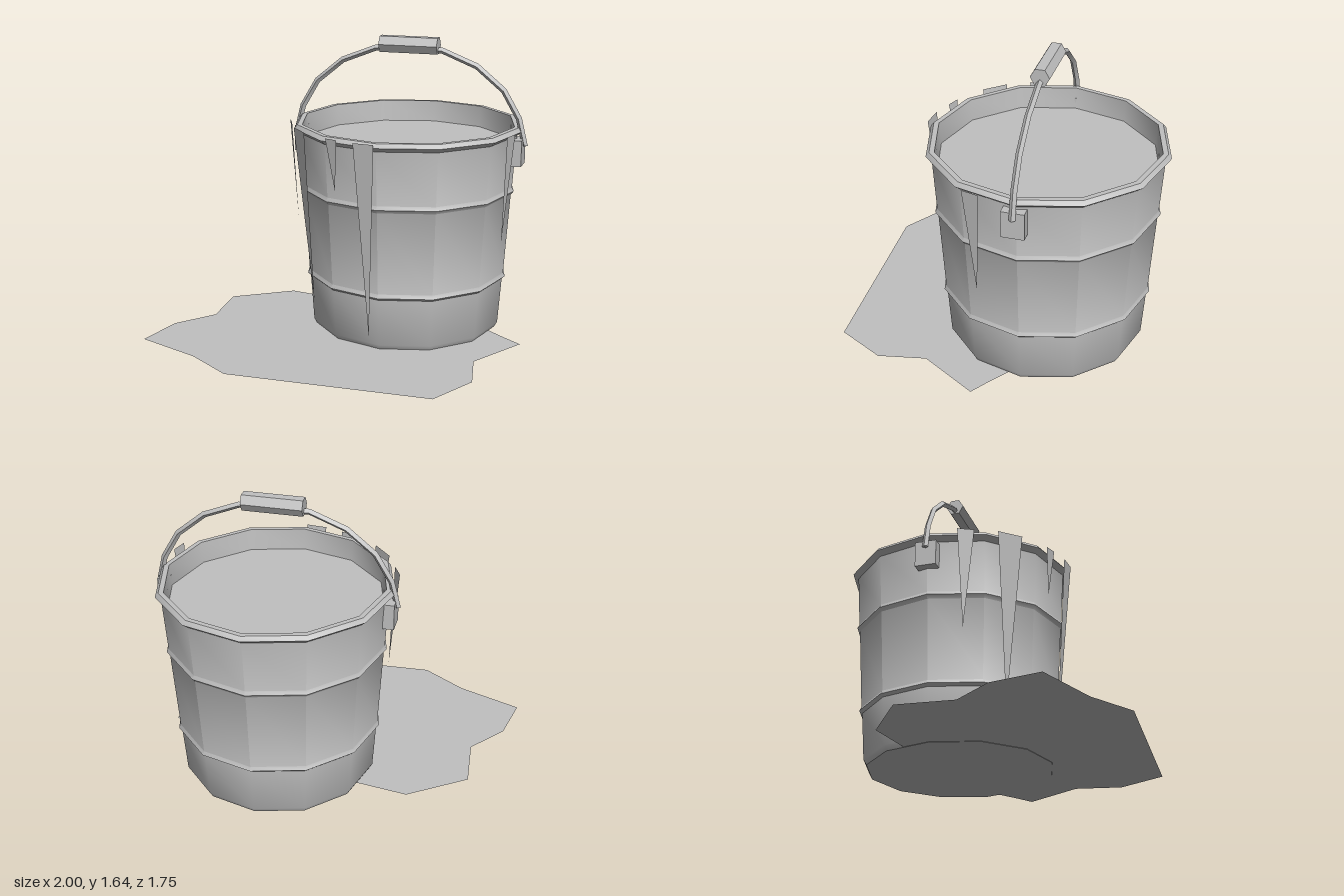
import * as THREE from 'three';
import { toCreasedNormals } from 'three/addons/utils/BufferGeometryUtils.js';

const CX = 0.285, CZ = -0.23, SIDES = 12;

export function createModel() {
  const model = new THREE.Group();
  model.name = 'paintBucket';
  const grey = new THREE.MeshStandardMaterial({ color: 0xc0c0c0, side: THREE.DoubleSide });
  grey.name = 'plain grey';

  const add = (name, geometry, parent = model) => {
    const mesh = new THREE.Mesh(geometry, grey);
    mesh.name = name;
    parent.add(mesh);
    return mesh;
  };

  const bucket = new THREE.Group();
  bucket.name = 'bucket';
  bucket.position.set(CX, 0, CZ);
  model.add(bucket);

  // Tapered wall with two raised hoops and a rolled rim
  const profile = [
    [0, 0], [0.525, 0], [0.542, 0.03], [0.56, 0.295], [0.577, 0.31], [0.566, 0.33],
    [0.594, 0.79], [0.61, 0.81], [0.599, 0.83], [0.617, 1.125],
    [0.648, 1.15], [0.63, 1.172], [0.602, 1.172], [0.592, 1.04],
  ].map(([r, y]) => new THREE.Vector2(r, y));
  add('bucketWall', toCreasedNormals(new THREE.LatheGeometry(profile, SIDES), 0.7), bucket);

  // Paint surface just under the rim
  const paint = new THREE.CircleGeometry(0.594, SIDES);
  paint.rotateX(-Math.PI / 2);
  add('paintSurface', paint, bucket).position.y = 1.05;

  // Square brackets for the handle
  for (const s of [-1, 1]) {
    const name = s > 0 ? 'leftBracket' : 'rightBracket';
    add(name, new THREE.BoxGeometry(0.06, 0.145, 0.12), bucket).position.set(s * 0.625, 1.038, 0.005);
  }

  // Faceted wire handle, mirrored about the middle
  const half = [[0.61, 1.075], [0.662, 1.075], [0.625, 1.22], [0.537, 1.37], [0.385, 1.495], [0.19, 1.572]];
  const path = [
    ...half.map(([x, y]) => new THREE.Vector3(-x, y, 0.005)),
    ...half.slice().reverse().map(([x, y]) => new THREE.Vector3(x, y, 0.005)),
  ];
  const wire = new THREE.CatmullRomCurve3(path, false, 'catmullrom', 0.5);
  // Sample exactly at the bends
  wire.getPointAt = (t, v) => wire.getPoint(t, v);
  wire.getTangentAt = (t, v) => wire.getTangent(t, v);
  add('handleWire', toCreasedNormals(new THREE.TubeGeometry(wire, path.length - 1, 0.017, 4), 0.7), bucket);

  // Hexagonal grip
  const grip = new THREE.CylinderGeometry(0.051, 0.051, 0.33, 6);
  grip.rotateZ(Math.PI / 2);
  add('handleGrip', toCreasedNormals(grip, 0.5), bucket).position.set(0.003, 1.597, 0.005);

  // Thin paint drips: two top corners and a tip
  const drips = [
    [[-0.353, 1.172, -0.05], [-0.31, 1.172, 0.035], [-0.3, 0.6, -0.03]],
    [[-0.255, 1.172, 0.155], [-0.155, 1.172, 0.265], [-0.14, 0.19, 0.16]],
    [[0, 1.172, 0.365], [0.07, 1.172, 0.39], [0.05, 0.89, 0.355]],
    [[0.17, 1.172, 0.425], [0.285, 1.172, 0.435], [0.235, 0.08, 0.335]],
    [[0.9, 1.172, 0.045], [0.925, 1.172, -0.047], [0.873, 0.565, -0.018]],
  ];
  drips.forEach(([a, b, tip], i) => {
    const g = new THREE.BufferGeometry();
    g.setAttribute('position', new THREE.Float32BufferAttribute([...a, ...tip, ...b], 3));
    g.computeVertexNormals();
    add('paintDrip' + (i + 1), g);
  });

  // Spilled puddle on the ground, as x and z
  const outline = [
    [-0.49, -0.425], [-0.805, -0.21], [-0.78, 0.1], [-0.945, 0.305], [-1, 0.575], [-0.635, 0.71],
    [-0.385, 0.87], [0.72, 0.825], [0.86, 0.565], [0.81, 0.305], [1, -0.01], [0.89, -0.085],
    [0.6, -0.3], [-0.1, -0.37],
  ].map(([x, z]) => new THREE.Vector2(x, -z));
  const puddle = new THREE.ShapeGeometry(new THREE.Shape(outline));
  puddle.rotateX(-Math.PI / 2);
  add('paintPuddle', puddle).position.y = 0.002;

  return model;
}
